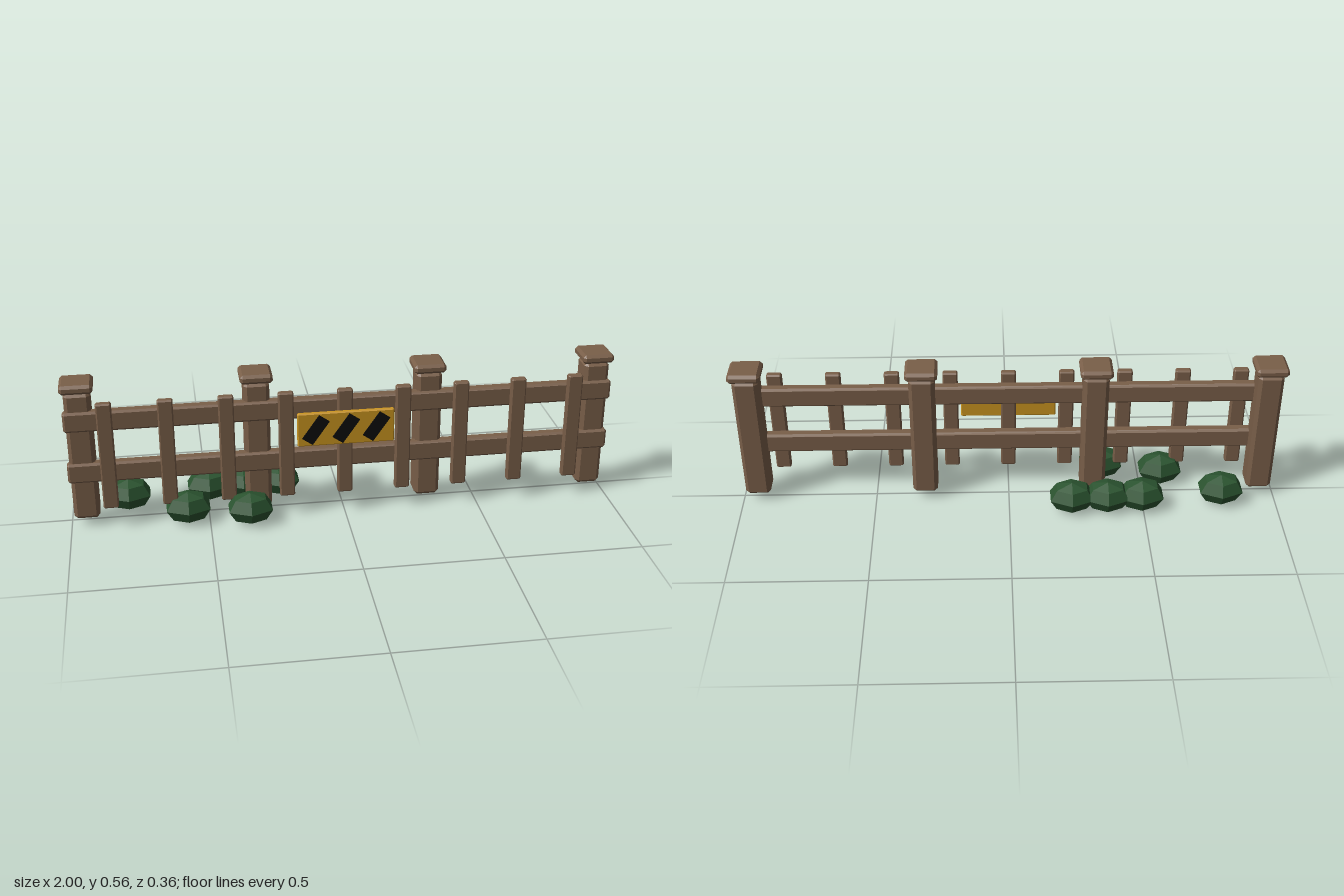
import * as THREE from 'three';
import { ConvexGeometry } from 'three/addons/geometries/ConvexGeometry.js';

const material = (name, color) => {
  const m = new THREE.MeshStandardMaterial({ color });
  m.name = name;
  return m;
};

// Box with every edge cut by a flat chamfer
function chamferBox(w, h, d, c) {
  const points = [];
  for (const sx of [-1, 1]) for (const sy of [-1, 1]) for (const sz of [-1, 1]) {
    const x = sx * w / 2, y = sy * h / 2, z = sz * d / 2;
    points.push(
      new THREE.Vector3(x, y - sy * c, z - sz * c),
      new THREE.Vector3(x - sx * c, y, z - sz * c),
      new THREE.Vector3(x - sx * c, y - sy * c, z)
    );
  }
  return new ConvexGeometry(points);
}

export function createModel() {
  const wood = material('wood brown', 0x7a5f49);
  const yellow = material('sign yellow', 0xcc9620);
  const black = material('stripe black', 0x0c0c0c);
  const green = material('bush green', 0x2b5430);

  const model = new THREE.Group();
  model.name = 'fence';
  const add = (name, geometry, mat, x, y, z) => {
    const mesh = new THREE.Mesh(geometry, mat);
    mesh.name = name;
    mesh.position.set(x, y, z);
    model.add(mesh);
    return mesh;
  };

  // Four posts with caps
  const postGeo = chamferBox(0.093, 0.495, 0.093, 0.013);
  const capGeo = chamferBox(0.117, 0.034, 0.117, 0.01);
  for (let i = 0; i < 4; i++) {
    const x = -0.942 + i * 0.628;
    add('post', postGeo, wood, x, 0.278, 0.01);
    add('postCap', capGeo, wood, x, 0.543, 0.01);
  }

  // Two long rails on the front of the posts
  const railGeo = chamferBox(1.994, 0.076, 0.04, 0.008);
  for (const y of [0.219, 0.419]) add('rail', railGeo, wood, 0, y, 0.045);

  // Nine pickets
  const picketGeo = chamferBox(0.055, 0.41, 0.028, 0.005);
  for (let i = -4; i <= 4; i++) add('picket', picketGeo, wood, i * 0.213, 0.29, 0.075);

  // Warning sign with slanted stripes
  add('signBoard', chamferBox(0.352, 0.128, 0.018, 0.004), yellow, 0, 0.354, 0.098);
  const stripeGeo = new THREE.BoxGeometry(0.046, 0.108, 0.005);
  for (const x of [-0.11, 0, 0.11]) {
    add('signStripe', stripeGeo, black, x, 0.354, 0.1085).rotation.z = -0.61;
  }

  // Faceted bushes around the left half
  const bushGeo = new THREE.SphereGeometry(1, 6, 4)
    .rotateY(Math.PI / 2).scale(0.091, 0.059, 0.07).toNonIndexed();
  bushGeo.computeVertexNormals();
  const bushes = [
    [-0.791, -0.068], [-0.492, -0.1], [-0.364, -0.106],
    [-0.231, -0.107], [-0.577, 0.067], [-0.353, 0.108]
  ];
  for (const [x, z] of bushes) add('bush', bushGeo, green, x, 0.06, z);

  return model;
}
